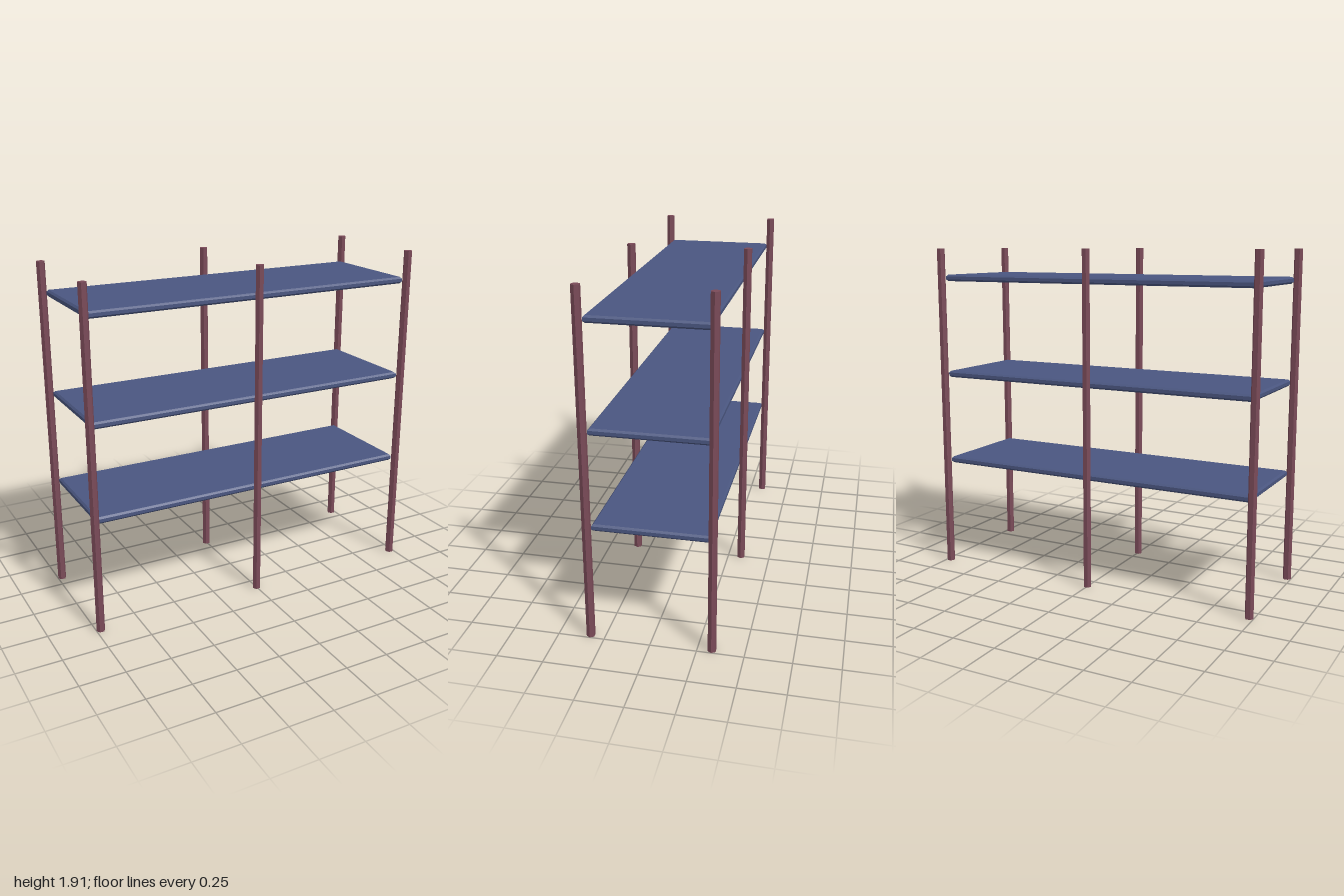
import * as THREE from 'three';

const postMaterial = new THREE.MeshStandardMaterial({ color: 0x7a4a58, flatShading: true });
const shelfMaterial = new THREE.MeshStandardMaterial({ color: 0x4a5680, flatShading: true });

// Flat board with chamfered edges, centred on the origin
function boardGeometry(width, height, depth, chamfer) {
  const w = width / 2 - chamfer;
  const d = depth / 2 - chamfer;
  const outline = new THREE.Shape([
    new THREE.Vector2(-w, -d), new THREE.Vector2(w, -d),
    new THREE.Vector2(w, d), new THREE.Vector2(-w, d),
  ]);
  const geometry = new THREE.ExtrudeGeometry(outline, {
    depth: height - 2 * chamfer,
    bevelEnabled: true,
    bevelSize: chamfer,
    bevelThickness: chamfer,
    bevelSegments: 1,
  });
  return geometry.rotateX(-Math.PI / 2).center();
}

export function createModel() {
  const model = new THREE.Group();
  model.name = 'shelvingUnit';

  // Six hexagonal posts, corners pointing sideways
  const postHeight = 1.91;
  const postGeometry = new THREE.CylinderGeometry(0.024, 0.024, postHeight, 6).rotateY(Math.PI / 6);
  const columns = [['right', -0.976], ['middle', 0], ['left', 0.976]];
  for (const [side, x] of columns) {
    for (const [row, z] of [['Front', 0.328], ['Back', -0.328]]) {
      const post = new THREE.Mesh(postGeometry, postMaterial);
      post.name = `${side}${row}Post`;
      post.position.set(x, postHeight / 2, z);
      model.add(post);
    }
  }

  // Three shelves between the posts
  const shelfGeometry = boardGeometry(1.92, 0.038, 0.616, 0.01);
  for (const [level, y] of [['lower', 0.638], ['middle', 1.166], ['upper', 1.738]]) {
    const shelf = new THREE.Mesh(shelfGeometry, shelfMaterial);
    shelf.name = `${level}Shelf`;
    shelf.position.y = y;
    model.add(shelf);
  }

  return model;
}
